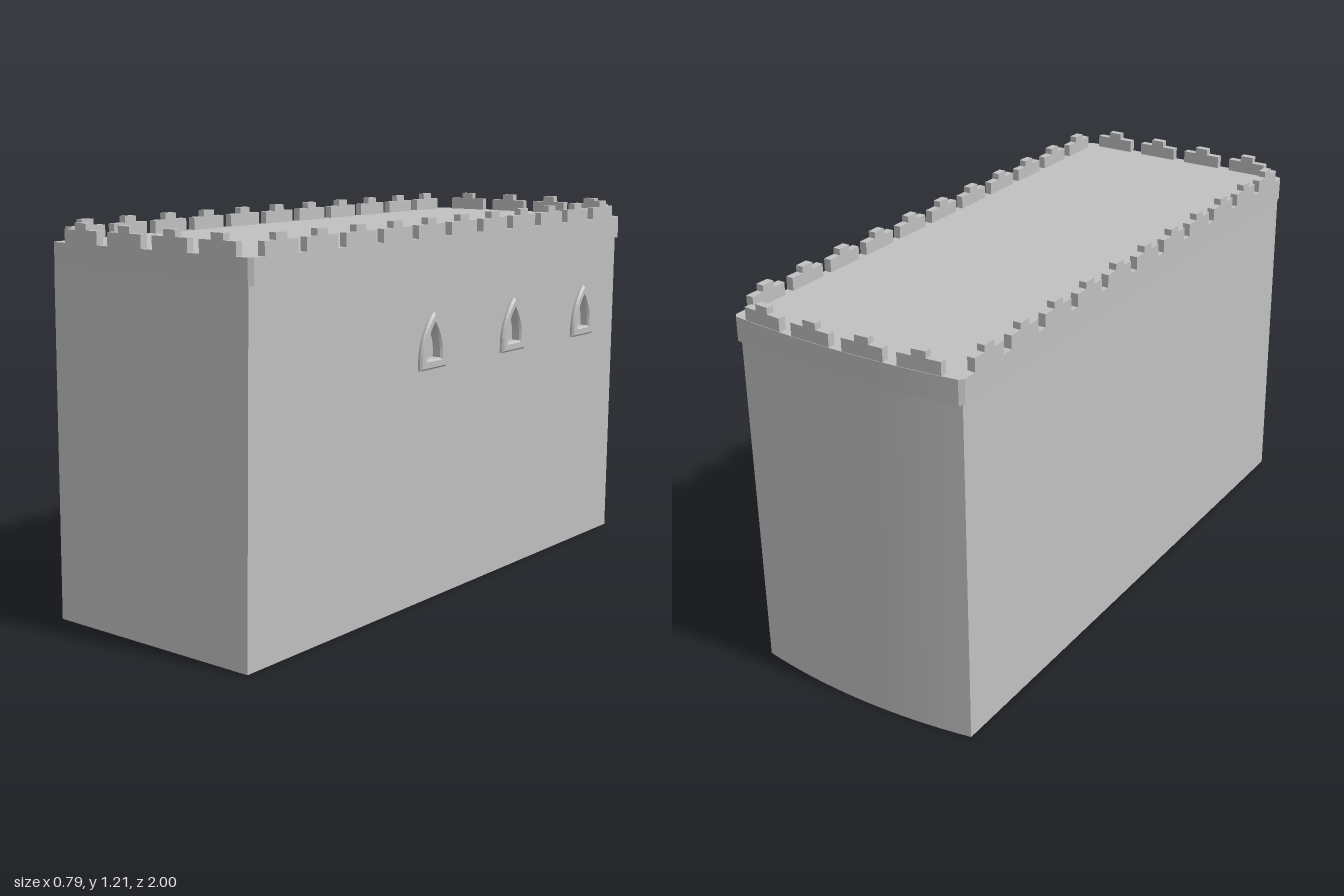
import * as THREE from 'three';

const WALL_TOP = 1.07, ROOF = 1.145;

// plan outline of the building at one height; the back edge is bowed
const BASE = { x0: -0.395, x1: 0.365, front: 1.0, corner: -0.965, mid: -1.0 };
const TOP = { x0: -0.385, x1: 0.38, front: 0.99, corner: -0.953, mid: -0.983 };
const BAND = { x0: -0.395, x1: 0.39, front: 0.99, corner: -0.968, mid: -0.995 };

const backZ = (p, t) => p.mid + (p.corner - p.mid) * t * t; // t from -1 to 1
const backX = (p, t) => (p.x0 + p.x1) / 2 + t * (p.x1 - p.x0) / 2;
const BACK_STEPS = 16;
const backCurve = (p, limit = 1) => {
  const pts = [];
  for (let i = 0; i <= BACK_STEPS; i++) {
    const t = limit * (1 - 2 * i / BACK_STEPS); // from +x to -x
    pts.push([backX(p, t), backZ(p, t)]);
  }
  return pts;
};

// surface between two matching rows of 3D points
function strip(lower, upper) {
  const pos = [], index = [];
  lower.forEach((p, i) => {
    pos.push(...p, ...upper[i]);
    if (i) {
      const a = 2 * i - 2;
      index.push(a, a + 2, a + 3, a, a + 3, a + 1);
    }
  });
  const g = new THREE.BufferGeometry();
  g.setAttribute('position', new THREE.Float32BufferAttribute(pos, 3));
  g.setIndex(index);
  g.computeVertexNormals();
  return g;
}

// right wall leans outward; (along, up, out) is laid onto it
const onRightWall = (u, v, w) => [
  BASE.x1 + (TOP.x1 - BASE.x1) * v / WALL_TOP + w, v, -u];
function layOnRightWall(g) {
  const p = g.attributes.position;
  for (let i = 0; i < p.count; i++) {
    p.setXYZ(i, ...onRightWall(p.getX(i), p.getY(i), p.getZ(i)));
  }
  g.computeVertexNormals();
  return g;
}

// pointed arch outline
function arch(Type, u, v, w, h) {
  const s = new Type();
  s.moveTo(u - w, v);
  s.lineTo(u + w, v);
  s.lineTo(u + w, v + 0.25 * h);
  s.quadraticCurveTo(u + 0.85 * w, v + 0.68 * h, u, v + h);
  s.quadraticCurveTo(u - 0.85 * w, v + 0.68 * h, u - w, v + 0.25 * h);
  s.closePath();
  return s;
}

// stepped battlement block, centred on its width, thickness along +z
function merlonGeometry() {
  const s = new THREE.Shape();
  s.moveTo(-0.0675, 0);
  s.lineTo(0.0675, 0);
  s.lineTo(0.0675, 0.04);
  s.lineTo(0.0225, 0.04);
  s.lineTo(0.0225, 0.06);
  s.lineTo(-0.0225, 0.06);
  s.lineTo(-0.0225, 0.04);
  s.lineTo(-0.0675, 0.04);
  s.closePath();
  const g = new THREE.ExtrudeGeometry(s, { depth: 0.024, bevelEnabled: false });
  g.translate(0, 0, -0.024); // outer face at z = 0
  return g;
}

export function createModel() {
  const model = new THREE.Group();
  const stone = new THREE.MeshStandardMaterial({ color: 0xc0c0c0, side: THREE.DoubleSide });
  stone.name = 'grey stone';
  const add = (name, geometry, parent = model) => {
    const m = new THREE.Mesh(geometry, stone);
    m.name = name;
    parent.add(m);
    return m;
  };

  // plain walls, open at the bottom
  const wall = (name, low, high) => add(name, strip(
    low.map(([x, z]) => [x, 0, z]), high.map(([x, z]) => [x, WALL_TOP, z])));
  const frontEdge = p => [[p.x0, p.front], [p.x1, p.front]];
  const leftEdge = p => [[p.x0, p.corner], [p.x0, p.front]];
  wall('frontWall', frontEdge(BASE), frontEdge(TOP));
  wall('sideWallPlain', leftEdge(BASE), leftEdge(TOP));
  wall('backWall', backCurve(BASE), backCurve(TOP));

  // wall with three window openings
  const side = new THREE.Shape();
  side.moveTo(-BASE.front, 0);
  side.lineTo(-BASE.corner, 0);
  side.lineTo(-TOP.corner, WALL_TOP);
  side.lineTo(-TOP.front, WALL_TOP);
  side.closePath();
  const windows = [0.165, -0.285, -0.73];
  for (const z of windows) {
    const opening = Type => arch(Type, -z, 0.772, 0.036, 0.108);
    side.holes.push(opening(THREE.Path));

    const group = new THREE.Group();
    group.name = 'window';
    model.add(group);

    // raised frame with bevelled edges
    const frame = arch(THREE.Shape, -z, 0.747, 0.061, 0.163);
    frame.holes.push(arch(THREE.Path, -z, 0.766, 0.042, 0.122));
    add('windowFrame', layOnRightWall(new THREE.ExtrudeGeometry(frame, {
      depth: 0.007, bevelEnabled: true, bevelThickness: 0.007,
      bevelSize: 0.006, bevelSegments: 1, curveSegments: 8,
    })), group);

    // recess behind the frame
    const rim = opening(THREE.Shape).getPoints(8);
    rim.push(rim[0]);
    add('windowReveal', strip(
      rim.map(p => onRightWall(p.x, p.y, 0)),
      rim.map(p => onRightWall(p.x, p.y, -0.02))).toNonIndexed(), group)
      .geometry.computeVertexNormals();
    const pane = new THREE.ShapeGeometry(opening(THREE.Shape), 8);
    pane.translate(0, 0, -0.02);
    add('windowBack', layOnRightWall(pane), group);
  }
  add('windowWall', layOnRightWall(new THREE.ShapeGeometry(side, 8)));

  // overhanging band with the flat roof, corners slightly cut
  const c = 0.012;
  const outline = [
    [BAND.x0 + c, BAND.front], [BAND.x1 - c, BAND.front],
    [BAND.x1, BAND.front - c], [BAND.x1, BAND.corner + c],
    ...backCurve(BAND, 0.97),
    [BAND.x0, BAND.corner + c], [BAND.x0, BAND.front - c],
  ].map(([x, z]) => new THREE.Vector2(x, -z));
  const band = new THREE.ExtrudeGeometry(new THREE.Shape(outline), {
    depth: ROOF - WALL_TOP, bevelEnabled: false });
  band.rotateX(-Math.PI / 2);
  band.translate(0, WALL_TOP, 0);
  add('roofBand', band);

  // battlements around the roof
  const merlon = merlonGeometry();
  const battlements = new THREE.Group();
  battlements.name = 'battlements';
  model.add(battlements);
  const place = (x, z, angle) => {
    const m = add('merlon', merlon, battlements);
    m.position.set(x, ROOF, z);
    m.rotation.y = angle;
  };
  for (let i = 0; i < 11; i++) {
    const z = 0.868 - i * 0.171;
    place(BAND.x1, z, Math.PI / 2);
    place(BAND.x0, z, -Math.PI / 2);
  }
  const half = (BAND.x1 - BAND.x0) / 2;
  for (let i = 0; i < 4; i++) {
    const x = -0.267 + i * 0.179;
    place(x, BAND.front, 0);
    const t = (x - backX(BAND, 0)) / half;
    const slope = 2 * (BAND.corner - BAND.mid) * t / half;
    place(x, backZ(BAND, t) + 0.002, Math.PI - Math.atan(slope));
  }
  return model;
}
